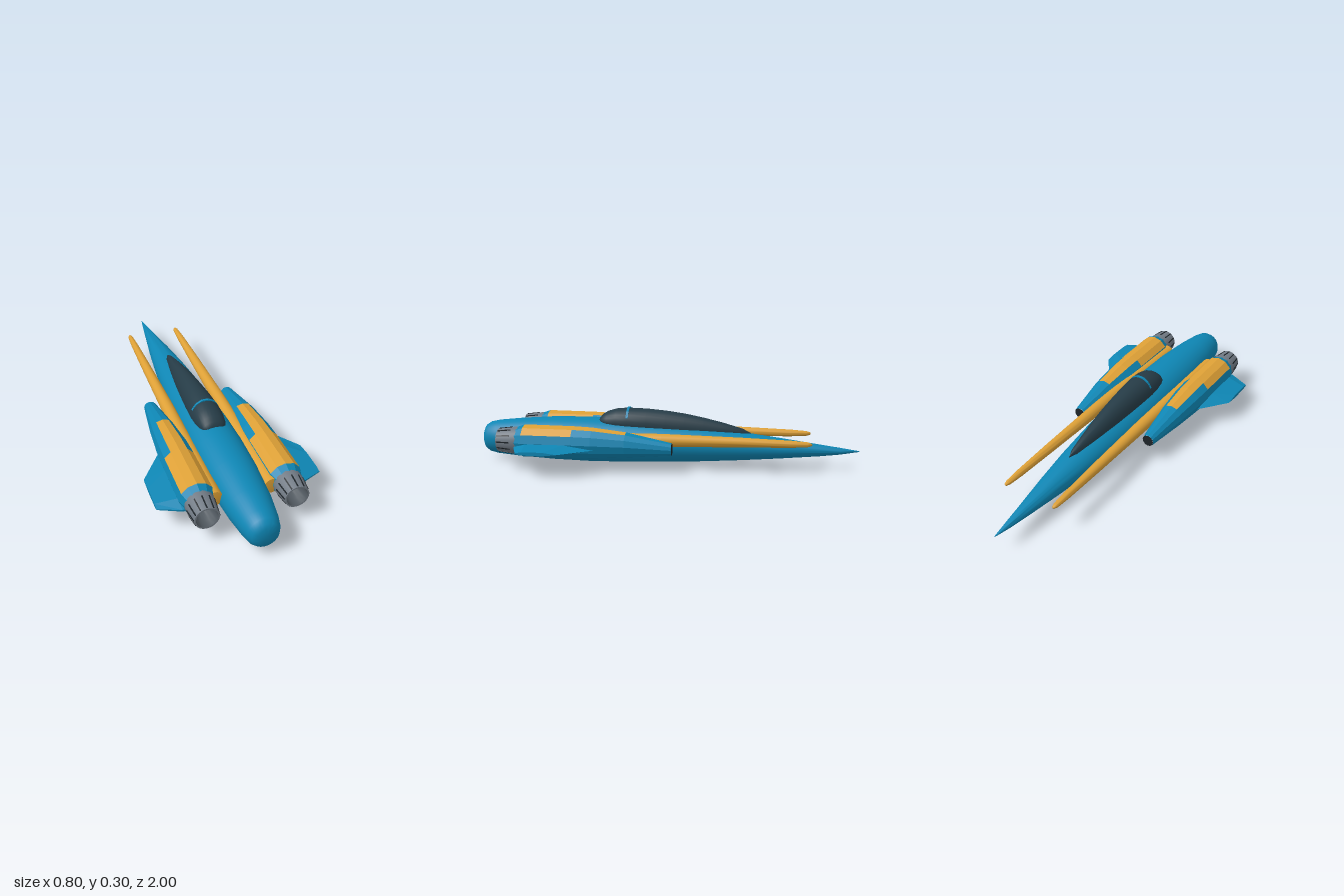
import * as THREE from 'three';
import { toCreasedNormals } from 'three/addons/utils/BufferGeometryUtils.js';

const paint = (name, color) => {
  const m = new THREE.MeshStandardMaterial({ color });
  m.name = name;
  return m;
};

// Skin a list of closed rings; pick(i, j) gives the material index of each quad.
function loft(rings, crease, pick = () => 0) {
  const n = rings[0].length, buckets = [[], []];
  for (let i = 0; i < rings.length - 1; i++) {
    for (let j = 0; j < n; j++) {
      const k = (j + 1) % n;
      const a = rings[i][j], b = rings[i][k], c = rings[i + 1][k], d = rings[i + 1][j];
      buckets[pick(i, j)].push(...a, ...b, ...c, ...a, ...c, ...d);
    }
  }
  const geo = new THREE.BufferGeometry();
  geo.setAttribute('position', new THREE.Float32BufferAttribute([...buckets[0], ...buckets[1]], 3));
  const split = buckets[0].length / 3;
  if (crease > 0) return toCreasedNormals(geo, crease);
  geo.computeVertexNormals();
  if (buckets[1].length) {
    geo.addGroup(0, split, 0);
    geo.addGroup(split, buckets[1].length / 3, 1);
  }
  return geo;
}

// Elliptical ring in the xy plane.
function oval(z, rx, ry, cy, n, cx = 0) {
  return Array.from({ length: n }, (_, j) => {
    const a = (j / n) * Math.PI * 2;
    return [cx + rx * Math.cos(a), cy + ry * Math.sin(a), z];
  });
}

export function createModel() {
  const model = new THREE.Group();
  const blue = paint('hull blue', 0x0e86b4);
  const yellow = paint('trim yellow', 0xdda036);
  const glass = paint('canopy dark', 0x263c47);
  const grey = paint('nozzle grey', 0x727b85);
  const dark = paint('dark recess', 0x1d2429);
  const lining = paint('nozzle lining', 0x50585f);
  const glow = paint('engine glow', 0x5fd0d6);

  const add = (name, geo, mat, parent = model) => {
    const mesh = new THREE.Mesh(geo, mat);
    mesh.name = name;
    parent.add(mesh);
    return mesh;
  };

  // Fuselage: z, half width, top, bottom
  const hull = [
    [-1, 0, 0.099, 0.099], [-0.99, 0.003, 0.102, 0.096], [-0.9, 0.017, 0.115, 0.08],
    [-0.8, 0.031, 0.128, 0.068], [-0.6, 0.06, 0.155, 0.05], [-0.4, 0.084, 0.18, 0.034],
    [-0.2, 0.102, 0.2, 0.021], [0, 0.117, 0.216, 0.011], [0.2, 0.127, 0.23, 0.004],
    [0.4, 0.13, 0.238, 0], [0.6, 0.125, 0.235, 0.004], [0.8, 0.109, 0.22, 0.014],
    [0.92, 0.09, 0.207, 0.024], [0.965, 0.078, 0.197, 0.033], [0.987, 0.065, 0.182, 0.048],
    [0.997, 0.045, 0.162, 0.068], [1, 0, 0.115, 0.115],
  ];
  add('fuselage', loft(hull.map(([z, w, t, b]) => oval(z, w, (t - b) / 2, (t + b) / 2, 40)), 1), blue);

  // Canopy: z, half width, top, base
  const canopy = [
    [-0.445, 0, 0.178, 0.17], [-0.4, 0.019, 0.2, 0.17], [-0.3, 0.034, 0.228, 0.175],
    [-0.2, 0.047, 0.251, 0.182], [-0.1, 0.057, 0.27, 0.189], [0, 0.065, 0.283, 0.197],
    [0.1, 0.072, 0.291, 0.207], [0.2, 0.077, 0.293, 0.214], [0.26, 0.075, 0.289, 0.218],
    [0.31, 0.068, 0.274, 0.22], [0.335, 0.059, 0.259, 0.22], [0.35, 0.044, 0.243, 0.22],
    [0.351, 0, 0.22, 0.22],
  ];
  add('canopy', loft(canopy.map(([z, w, t, b]) => oval(z, w, t - b, b, 28)), 0.9), glass);

  // Arched canopy bow
  const bow = [0, 1].map((k) => oval(0.192 + k * 0.012, 0.076, 0.086, 0.214, 14));
  add('canopyBow', loft([oval(0.192, 0, 0, 0.214, 14), ...bow, oval(0.204, 0, 0, 0.214, 14)], 0), blue);

  for (const s of [1, -1]) {
    const side = new THREE.Group();
    side.name = s > 0 ? 'leftEngineGroup' : 'rightEngineGroup';
    model.add(side);

    // Long tapered boom: z, radius, centre height
    const boom = [
      [-0.755, 0, 0.156], [-0.75, 0.007, 0.156], [-0.73, 0.013, 0.156], [-0.65, 0.018, 0.156],
      [-0.4, 0.025, 0.156], [0, 0.033, 0.154], [0.4, 0.038, 0.145], [0.73, 0.041, 0.14], [0.735, 0, 0.14],
    ];
    add('boom', loft(boom.map(([z, r, y]) => oval(z, r, r, y, 20, s * 0.141)), 0.9), yellow, side);

    // Twelve-sided nacelle with yellow upper panels: z, radius, centre height
    const nacelle = [
      [-0.062, 0.032, 0.125], [0.17, 0.065, 0.14], [0.34, 0.08, 0.144],
      [0.44, 0.083, 0.145], [0.7, 0.085, 0.145], [0.74, 0.07, 0.145], [0.741, 0.055, 0.145],
    ];
    const panel = (i, j) => {
      if (i === 1 || i === 2) return j === 2 || j === 3 ? 1 : 0;
      return i === 3 && j >= 1 && j <= 4 ? 1 : 0;
    };
    add('nacelle', loft(nacelle.map(([z, r, y]) => oval(z, r, r, y, 12, s * 0.215)), 0, panel),
      [blue, yellow], side);

    // Intake opening
    const intake = add('intake', new THREE.CircleGeometry(0.031, 12), dark, side);
    intake.rotation.y = Math.PI;
    intake.position.set(s * 0.215, 0.125, -0.0625);

    // Nozzle shell, lining, slots and glow
    const nozzle = new THREE.Group();
    nozzle.name = 'nozzle';
    nozzle.position.set(s * 0.215, 0.145, 0);
    side.add(nozzle);
    const lathe = (pts) => toCreasedNormals(
      new THREE.LatheGeometry(pts.map(([r, z]) => new THREE.Vector2(r, z)), 28).rotateX(Math.PI / 2), 0.6);
    add('nozzleShell', lathe([[0.071, 0.7], [0.07, 0.755], [0.059, 0.84], [0.052, 0.84]]), grey, nozzle);
    add('nozzleLining', lathe([[0.052, 0.84], [0.049, 0.8], [0.036, 0.75]]), lining, nozzle);
    add('engineGlow', new THREE.CircleGeometry(0.037, 28), glow, nozzle).position.z = 0.75;
    const chip = add('glowPlate', new THREE.BoxGeometry(0.042, 0.013, 0.002), yellow, nozzle);
    chip.position.set(-s * 0.006, -0.023, 0.751);
    for (let k = 0; k < 12; k++) {
      const spoke = new THREE.Group();
      spoke.name = 'nozzleSlot';
      spoke.rotation.z = (k / 12) * Math.PI * 2;
      nozzle.add(spoke);
      const slot = add('slot', new THREE.BoxGeometry(0.006, 0.004, 0.072), dark, spoke);
      slot.position.set(0, 0.0645, 0.8);
      slot.rotation.x = 0.129;
    }

    // Stub wing: leading edge, upper shoulder, trailing edge, lower shoulder
    const rib = (x, z0, z1, y, h) => {
      const len = z1 - z0;
      return [[0, 0], [0.35, -1], [0.85, -0.9], [1, -0.2], [1, 0.2], [0.85, 0.9], [0.35, 1]]
        .map(([u, v]) => [s * x, y + v * h, z0 + u * len]).reverse();
    };
    const mid = (x, z) => Array(7).fill([s * x, 0.119, z]);
    const ribs = [mid(0.24, 0.5), rib(0.24, 0.27, 0.74, 0.121, 0.028),
      rib(0.295, 0.335, 0.735, 0.121, 0.025), rib(0.402, 0.48, 0.69, 0.119, 0.009), mid(0.402, 0.58)];
    add('wing', loft(s > 0 ? ribs : ribs.reverse(), 0), blue, side);
  }
  return model;
}
